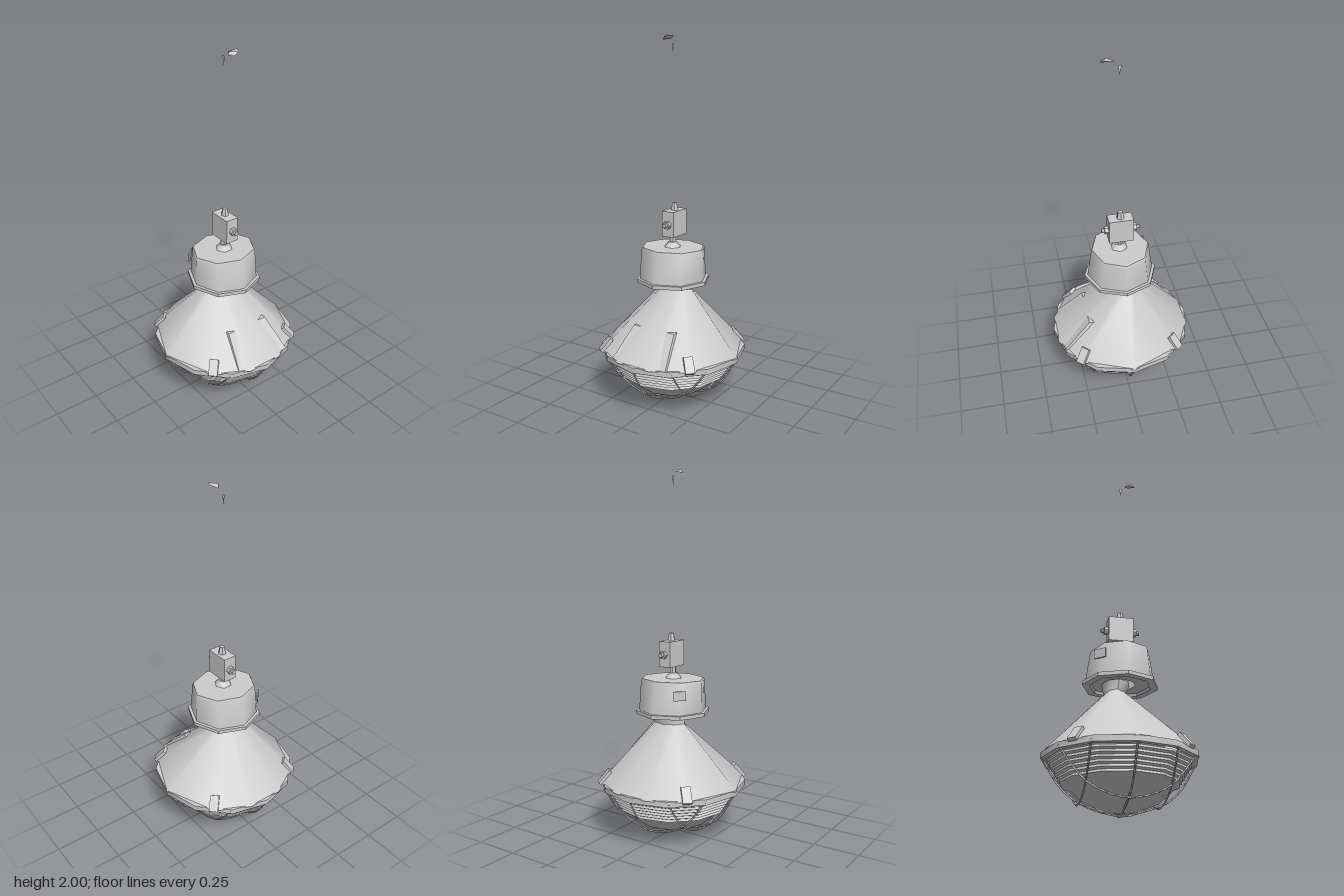
import * as THREE from 'three';
import { toCreasedNormals } from 'three/addons/utils/BufferGeometryUtils.js';
import { ConvexGeometry } from 'three/addons/geometries/ConvexGeometry.js';

const metal = new THREE.MeshStandardMaterial({ color: 0xcccccc, side: THREE.DoubleSide });
metal.name = 'light grey metal';

// Skin rings of [x, y, z] points (listed from +z towards +x), bottom to top
function loft(rings, crease = 0.9) {
  const n = rings[0].length, index = [];
  for (let r = 0; r < rings.length - 1; r++) {
    for (let i = 0; i < n; i++) {
      const a = r * n + i, b = r * n + (i + 1) % n;
      index.push(a, b, b + n, a, b + n, a + n);
    }
  }
  const g = new THREE.BufferGeometry();
  g.setAttribute('position', new THREE.Float32BufferAttribute(rings.flat(2), 3));
  g.setIndex(index);
  return toCreasedNormals(g, crease);
}

// Elliptical ring with flat sides
function ring(n, y, rx, rz = rx, cx = 0) {
  return Array.from({ length: n }, (_, i) => {
    const a = (i / n) * Math.PI * 2;
    return [cx + Math.sin(a) * rx, y, Math.cos(a) * rz];
  });
}

export function createModel() {
  const model = new THREE.Group();
  const add = (name, geometry, x = 0, y = 0, z = 0, parent = model) => {
    const mesh = new THREE.Mesh(geometry, metal);
    mesh.name = name;
    mesh.position.set(x, y, z);
    parent.add(mesh);
    return mesh;
  };
  const box = (w, h, d) => new THREE.BoxGeometry(w, h, d);
  const cyl = (rt, rb, h, n) => toCreasedNormals(new THREE.CylinderGeometry(rt, rb, h, n), 0.9);

  // Conical shade: ten-cornered skirt narrowing to an off-centre collar
  const half = [[0, 0.41], [0.29, 0.29], [0.39, 0.1], [0.39, -0.1], [0.29, -0.29], [0, -0.41]];
  const outline = half.concat(half.slice(1, 5).reverse().map(([x, z]) => [-x, z]));
  const skirt = (y) => outline.map(([x, z]) => [x, y, z]);
  const collar = outline.map(([x, z]) => [-0.035 + x * 0.12, 0.635, z * 0.24]);
  add('shade', loft([skirt(0.3), collar], 1.2));
  add('rim', loft([ring(12, 0.275, 0.375), ring(12, 0.275, 0.405), ring(12, 0.305, 0.405), ring(12, 0.305, 0.37)]));

  // Glass bowl with stepped ribs above a smooth dome
  const profile = [[0, 0.02], [0.1, 0.035], [0.2, 0.075], [0.28, 0.15]];
  for (let i = 0; i < 6; i++) {
    const r = 0.295 + i * 0.013, y = 0.155 + i * 0.02;
    profile.push([r, y], [r + 0.013, y + 0.004], [r + 0.008, y + 0.016]);
  }
  const bowl = new THREE.LatheGeometry(profile.map(([x, y]) => new THREE.Vector2(x, y)), 12);
  add('ribbedBowl', toCreasedNormals(bowl, 0.7));

  // Wire guard: two crossed sets of three wires following the bowl
  const guardPoints = [[0, 0.007], [0.21, 0.058], [0.31, 0.14], [0.4, 0.29]];
  const guardY = (r) => {
    let i = 0;
    while (i < 2 && r > guardPoints[i + 1][0]) i++;
    const [r0, y0] = guardPoints[i], [r1, y1] = guardPoints[i + 1];
    return y0 + (y1 - y0) * (r - r0) / (r1 - r0);
  };
  const guard = new THREE.Group();
  guard.name = 'wireGuard';
  model.add(guard);
  for (const c of [-0.208, 0, 0.208]) {
    const end = Math.sqrt(0.16 - c * c);
    const stops = [-1, -0.8, -0.6, -0.3, 0, 0.3, 0.6, 0.8, 1].map((t) => t * end);
    for (const turned of [false, true]) {
      const path = new THREE.CatmullRomCurve3(stops.map((s) => {
        const y = guardY(Math.hypot(c, s));
        return turned ? new THREE.Vector3(s, y, c) : new THREE.Vector3(c, y, s);
      }));
      add('guardWire', new THREE.TubeGeometry(path, 20, 0.005, 4), 0, 0, 0, guard);
    }
  }

  // Rim clips on the diagonals, leaning along the shade
  for (let i = 0; i < 4; i++) {
    const holder = new THREE.Group();
    holder.name = 'rimClip';
    holder.rotation.y = Math.PI / 4 + i * Math.PI / 2;
    model.add(holder);
    add('clipPlate', box(0.05, 0.09, 0.02), 0, 0.33, 0.382, holder).rotation.x = -0.7;
  }

  // Raised hatch on one side of the shade
  add('sideHatch', new ConvexGeometry([-1, 1].flatMap((s) => [
    [0.13, 0.455, 0.13], [0.21, 0.455, 0.13], [0.36, 0.305, 0.17], [0.2, 0.305, 0.17],
  ].map(([x, y, z]) => new THREE.Vector3(x, y, z * s - 0.01)))));

  // Neck and ballast housing
  add('neck', loft([ring(8, 0.625, 0.055, 0.1, -0.035), ring(8, 0.69, 0.075, 0.1, -0.025)]));
  add('housingFlange', loft([
    ring(8, 0.695, 0.08), ring(8, 0.695, 0.16), ring(8, 0.68, 0.165), ring(8, 0.68, 0.205),
    ring(8, 0.7, 0.205), ring(8, 0.7, 0.17),
  ], 0.6));
  add('housing', loft([
    ring(8, 0.7, 0.188), ring(8, 0.862, 0.165, 0.186), ring(8, 0.874, 0.16, 0.18), ring(8, 0.874, 0.001),
  ]));
  add('housingPlate', box(0.07, 0.05, 0.008), -0.135, 0.808, 0.135).rotation.y = -0.75;

  // Hanging stem, block and its bolts
  add('stemBase', cyl(0.025, 0.05, 0.03, 6), 0.005, 0.887);
  add('stem', cyl(0.018, 0.018, 0.05, 6), 0, 0.92);
  add('hangerBlock', box(0.136, 0.14, 0.074), 0, 1.01, -0.008);
  for (const s of [-1, 1]) {
    const nut = add('sideNut', cyl(0.022, 0.022, 0.022, 6), s * 0.078, 1.008, -0.01);
    const bolt = add('sideBolt', cyl(0.012, 0.012, 0.02, 6), s * 0.096, 1.008, -0.01);
    nut.rotation.z = bolt.rotation.z = Math.PI / 2;
  }
  add('topBolt', cyl(0.014, 0.022, 0.042, 6), 0, 1.1, -0.01);

  // Loose scraps of the hanging hook, high above the lamp
  add('hookScrap', new ConvexGeometry([
    [0.025, 1.985, -0.01], [0.055, 2, -0.04], [0.095, 2, -0.02], [0.09, 1.98, 0.005],
    [0.06, 1.978, 0.02], [0.06, 1.995, 0.015],
  ].map((p) => new THREE.Vector3(...p))));
  add('hookTip', new THREE.ShapeGeometry(new THREE.Shape([
    new THREE.Vector2(-0.009, 1.96), new THREE.Vector2(0.003, 1.91), new THREE.Vector2(0.009, 1.96),
  ])));
  return model;
}
